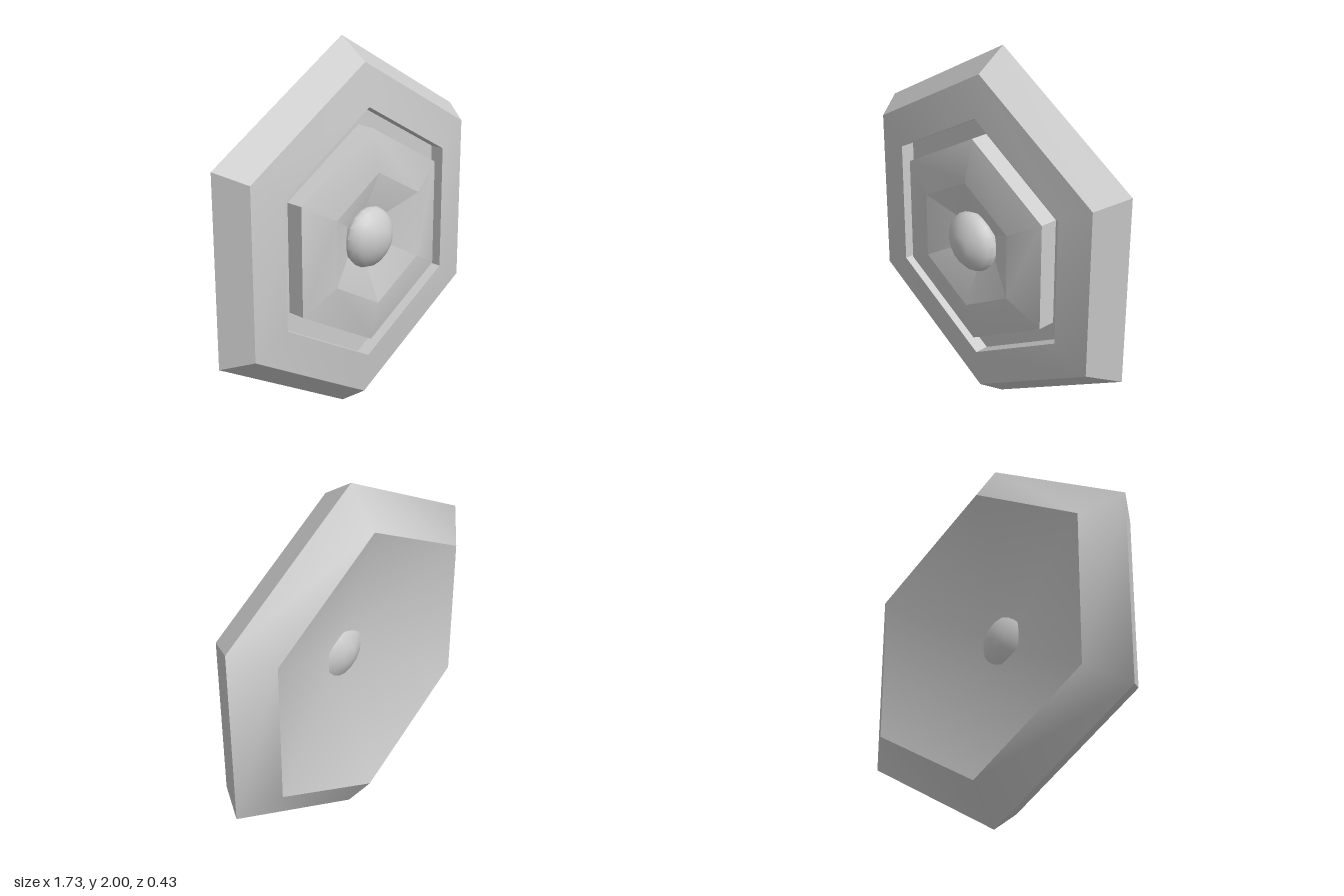
import * as THREE from 'three';
import { toCreasedNormals } from 'three/addons/utils/BufferGeometryUtils.js';

// Revolves [radius, z] pairs (listed back to front) around the z axis
function turned(name, profile, sides, crease) {
  const points = profile.map(([r, z]) => new THREE.Vector2(r, z));
  const lathe = new THREE.LatheGeometry(points, sides);
  lathe.rotateX(Math.PI / 2);
  const geometry = toCreasedNormals(lathe, THREE.MathUtils.degToRad(crease));
  const mesh = new THREE.Mesh(geometry, new THREE.MeshStandardMaterial({ color: 0xcccccc }));
  mesh.name = name;
  mesh.position.y = 1;
  return mesh;
}

export function createModel() {
  const group = new THREE.Group();
  group.name = 'hexagonalShield';

  // Six-sided body: hollow back, bevelled rim, groove, raised panel, dished centre
  group.add(turned('body', [
    [0, 0.01],
    [0.79, -0.215],
    [1, -0.07],
    [0.89, 0.087],
    [0.67, 0.115],
    [0.67, 0.04],
    [0.57, 0.04],
    [0.57, 0.133],
    [0.35, 0.182],
    [0, 0.03],
  ], 6, 38));

  // Rounded boss in the front dish
  const boss = turned('frontBoss', [
    [0, 0.03],
    [0.11, 0.04],
    [0.145, 0.08],
    [0.16, 0.125],
    [0.148, 0.155],
    [0.125, 0.177],
    [0.105, 0.19],
    [0.06, 0.215],
    [0, 0.215],
  ], 18, 40);
  boss.position.x = -0.01;
  group.add(boss);

  // Low button in the hollow back
  const button = turned('backButton', [
    [0, -0.06],
    [0.045, -0.06],
    [0.13, -0.03],
    [0.15, -0.01],
    [0.15, 0.01],
    [0, 0.02],
  ], 16, 30);
  button.position.x = -0.01;
  group.add(button);

  return group;
}
